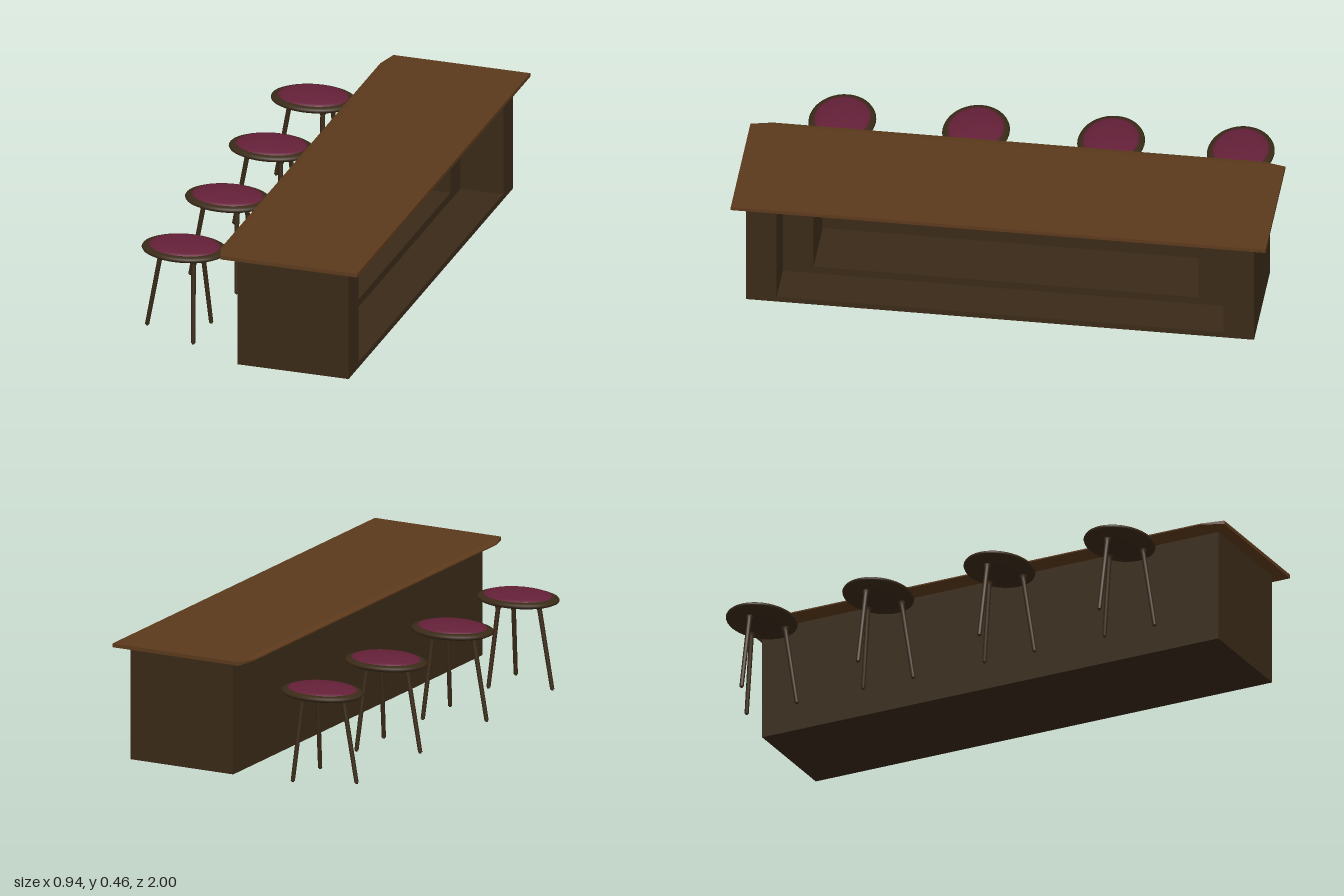
import * as THREE from 'three';

const darkWood = new THREE.MeshStandardMaterial({ color: 0x3a2a18 });
const topWood = new THREE.MeshStandardMaterial({ color: 0x5c3a1c });
const fabric = new THREE.MeshStandardMaterial({ color: 0x642038 });

function add(parent, name, geometry, material, x = 0, y = 0, z = 0) {
  const mesh = new THREE.Mesh(geometry, material);
  mesh.name = name;
  mesh.position.set(x, y, z);
  parent.add(mesh);
  return mesh;
}

// Rectangular frame in the z-y plane, extruded from x0 to x1
function frame(parent, name, x0, x1, holeHalf, holeY0, holeY1) {
  const rect = (P, h, y0, y1) => new P([[-h, y0], [h, y0], [h, y1], [-h, y1]].map(p => new THREE.Vector2(...p)));
  const shape = rect(THREE.Shape, 0.95, 0.013, 0.448);
  shape.holes.push(rect(THREE.Path, holeHalf, holeY0, holeY1));
  const geo = new THREE.ExtrudeGeometry(shape, { depth: x1 - x0, bevelEnabled: false });
  geo.rotateY(Math.PI / 2);
  add(parent, name, geo, darkWood, x0);
}

function createCounter() {
  const counter = new THREE.Group();
  counter.name = 'counter';

  // Cabinet with a stepped recess open towards +x
  add(counter, 'cabinetBack', new THREE.BoxGeometry(0.02, 0.435, 1.9), darkWood, -0.005, 0.2305, 0);
  frame(counter, 'innerRecess', 0.005, 0.253, 0.72, 0.065, 0.4);
  frame(counter, 'outerRecess', 0.253, 0.42, 0.835, 0.035, 0.43);

  // Worktop slab and its tapered nose with clipped corners
  add(counter, 'worktop', new THREE.BoxGeometry(0.535, 0.014, 2), topWood, 0.2025, 0.456, 0);
  let nose = new THREE.BoxGeometry(0.025, 0.014, 2);
  const p = nose.attributes.position;
  for (let i = 0; i < p.count; i++) {
    if (p.getX(i) < 0) p.setXYZ(i, p.getX(i), p.getY(i) * 0.35, p.getZ(i) * 0.92);
  }
  nose = nose.toNonIndexed();
  nose.computeVertexNormals();
  add(counter, 'worktopNose', nose, topWood, -0.0775, 0.456, 0);
  return counter;
}

// Oval lathe: radii are fractions of the seat's half width
function ovalLathe(profile) {
  const geo = new THREE.LatheGeometry(profile.map(q => new THREE.Vector2(...q)), 40);
  geo.scale(0.1625, 1, 0.125);
  return geo;
}

const seatGeo = ovalLathe([[0, 0.314], [0.45, 0.315], [0.75, 0.319], [0.92, 0.325], [0.985, 0.33],
  [1, 0.335], [0.98, 0.34], [0.92, 0.344], [0.85, 0.347], [0.8, 0.347], [0, 0.346]]);
const cushionGeo = ovalLathe([[0.84, 0.344], [0.82, 0.349], [0.74, 0.353], [0.56, 0.359], [0.3, 0.363], [0, 0.364]]);

// Slim leg between two points, with a flared mount and a small foot tip
function addLeg(parent, top, foot) {
  const leg = new THREE.Group();
  leg.name = 'leg';
  const a = new THREE.Vector3(...top), b = new THREE.Vector3(...foot);
  const len = a.distanceTo(b);
  const profile = [[0, 0], [0.004, 0.001], [0.005, 0.005], [0.008, 0.006], [0.0085, len * 0.5],
    [0.009, len - 0.02], [0.014, len - 0.008], [0.015, len]];
  add(leg, 'legShaft', new THREE.LatheGeometry(profile.map(q => new THREE.Vector2(...q)), 14), darkWood);
  leg.position.copy(b);
  leg.quaternion.setFromUnitVectors(new THREE.Vector3(0, 1, 0), a.sub(b).normalize());
  parent.add(leg);
}

function createStool(z) {
  const stool = new THREE.Group();
  stool.name = 'stool';
  add(stool, 'seat', seatGeo, darkWood);
  add(stool, 'cushion', cushionGeo, fabric);
  addLeg(stool, [-0.09, 0.322, -0.004], [-0.15, 0.001, -0.008]);
  addLeg(stool, [0.046, 0.322, -0.066], [0.071, 0.001, -0.1]);
  addLeg(stool, [0.058, 0.322, 0.066], [0.071, 0.001, 0.11]);
  stool.position.set(-0.31, 0, z);
  return stool;
}

export function createModel() {
  const model = new THREE.Group();
  model.name = 'counterWithStools';
  model.add(createCounter());
  for (const z of [-0.8, -0.315, 0.19, 0.69]) model.add(createStool(z));
  return model;
}
